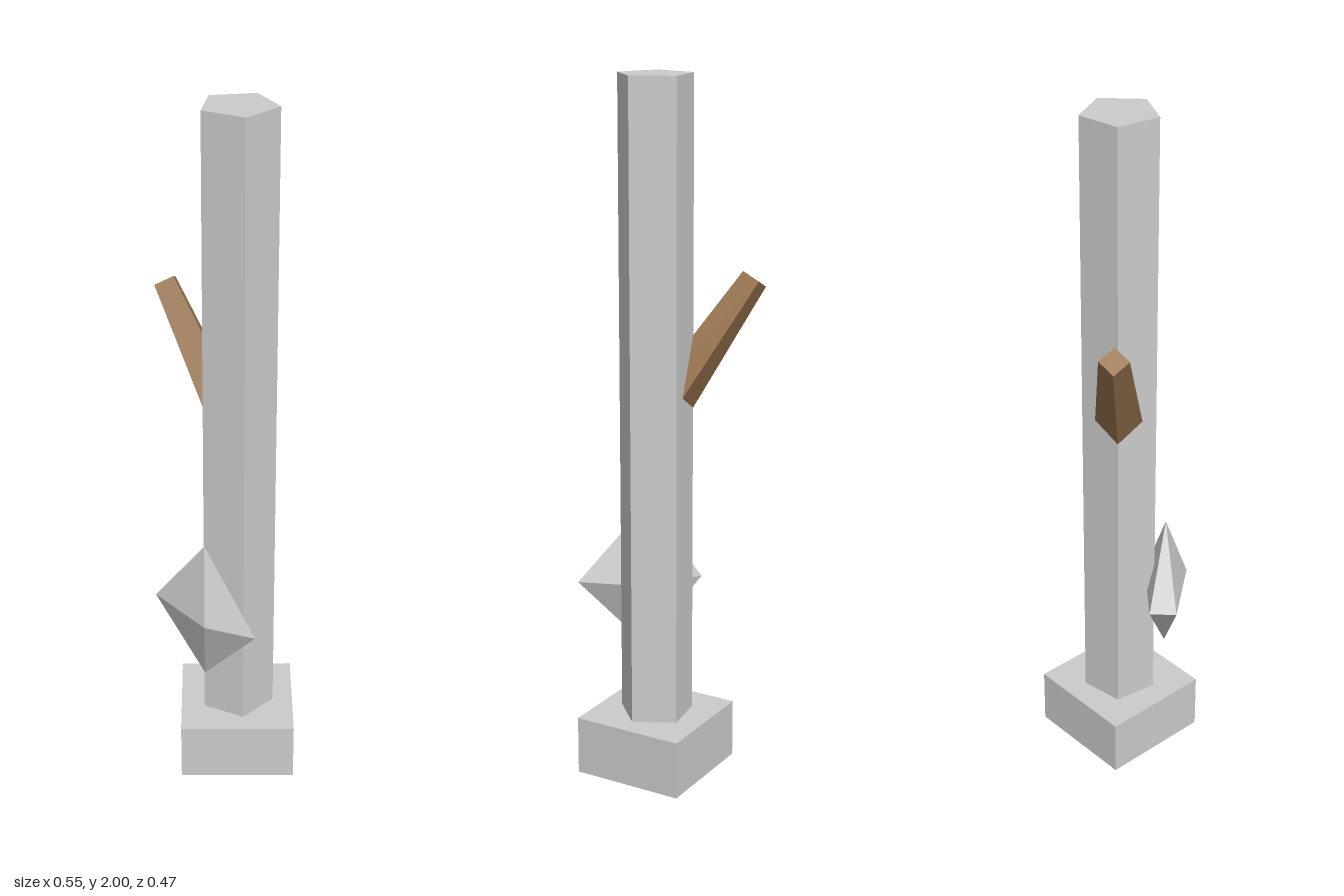
import * as THREE from 'three';

const AXIS_X = 0.041; // the post and base share this centre line

function addPart(group, name, geometry, color, x, y, z) {
  const material = new THREE.MeshStandardMaterial({ color, flatShading: true });
  const mesh = new THREE.Mesh(geometry, material);
  mesh.name = name;
  mesh.position.set(x, y, z);
  group.add(mesh);
  return mesh;
}

export function createModel() {
  const group = new THREE.Group();
  group.name = 'postWithBranch';
  const grey = 0xcccccc;
  const brown = 0x99744f;

  // Square base block, corners pointing along the axes
  addPart(group, 'base', new THREE.CylinderGeometry(0.233, 0.233, 0.17, 4), grey, AXIS_X, 0.085, 0);

  // Five-sided post with one edge towards -x
  const post = new THREE.CylinderGeometry(0.108, 0.108, 1.83, 5, 1, false, -Math.PI / 2);
  addPart(group, 'post', post, grey, AXIS_X, 1.085, 0);

  // Flattened five-sided crystal on the front of the post
  const crystal = new THREE.SphereGeometry(1, 5, 2, Math.PI);
  crystal.scale(0.2, 0.215, 0.066);
  addPart(group, 'crystal', crystal, grey, AXIS_X, 0.537, 0.133);

  // Tapered four-sided branch leaning out of the post, its root buried inside
  const length = 0.485;
  const lean = 0.622;
  const branch = new THREE.CylinderGeometry(0.041, 0.072, length, 4);
  branch.translate(0, -length / 2, 0); // origin at the tip
  addPart(group, 'branch', branch, brown, -0.242, 1.434, 0).rotation.z = lean;

  return group;
}
